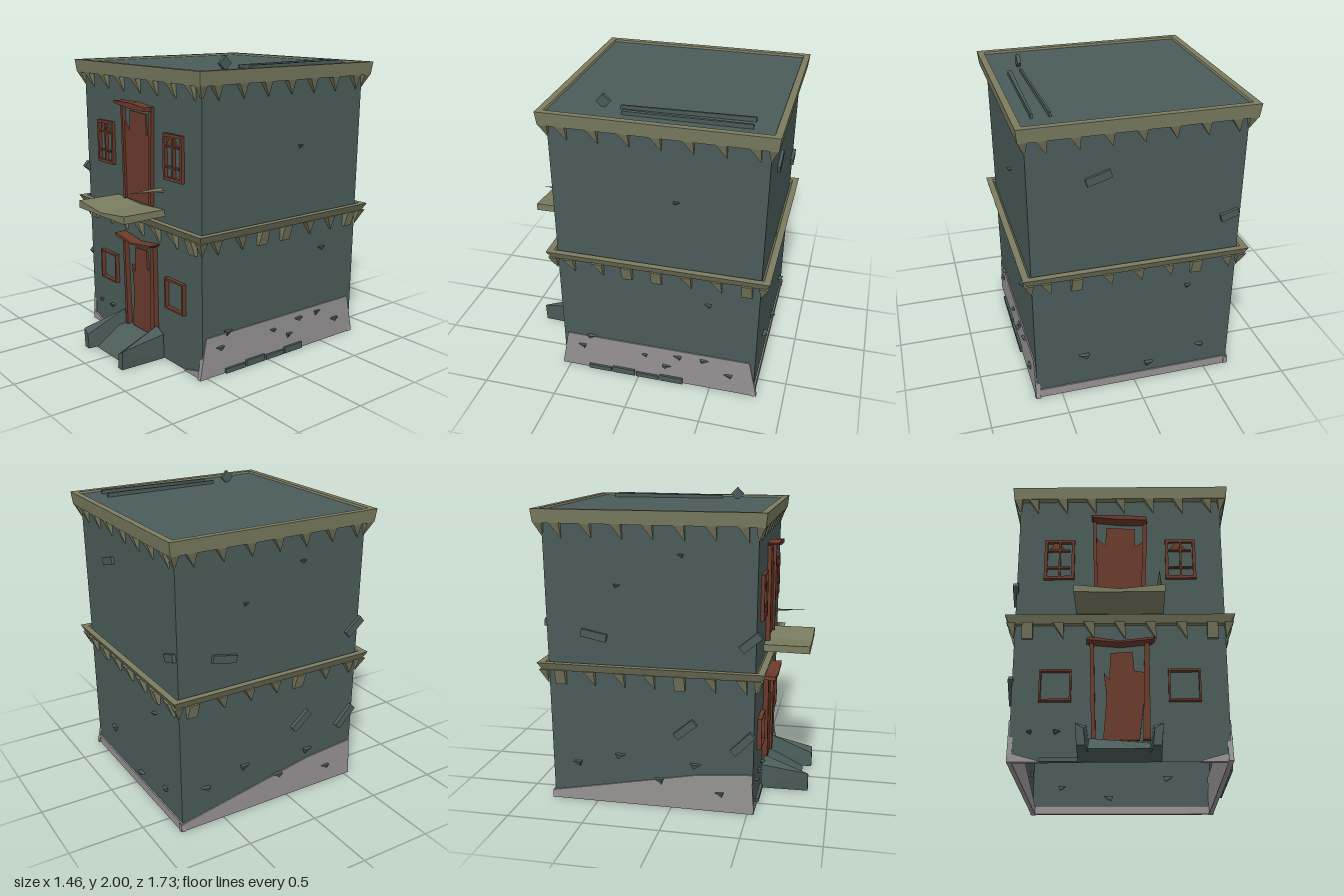
import * as THREE from 'three';
import { ConvexGeometry } from 'three/addons/geometries/ConvexGeometry.js';

export function createModel() {
  const root = new THREE.Group();
  root.name = 'ruinedHouse';
  const mat = (name, color) => {
    const m = new THREE.MeshStandardMaterial({ color, side: THREE.DoubleSide });
    m.name = name;
    return m;
  };
  const teal = mat('tealStone', 0x4a5c59);
  const olive = mat('oliveTrim', 0x7a7c60);
  const wood = mat('brownWood', 0x6a3a2b);
  const grey = mat('greyPlaster', 0x969293);

  // Helpers: mesh, convex solid, flat plate in the xy plane, box
  const add = (parent, name, geo, m) => {
    const mesh = new THREE.Mesh(geo, m);
    mesh.name = name;
    parent.add(mesh);
    return mesh;
  };
  const hull = (parent, name, pts, m) =>
    add(parent, name, new ConvexGeometry(pts.map(p => new THREE.Vector3(...p))), m);
  const plate = (parent, name, pts, z, depth, m) => {
    const shape = new THREE.Shape(pts.map(p => new THREE.Vector2(...p)));
    const geo = new THREE.ExtrudeGeometry(shape, { depth, bevelEnabled: false });
    return add(parent, name, geo.translate(0, 0, z), m);
  };
  const box = (parent, name, x0, x1, y0, y1, z0, z1, m) => add(parent, name,
    new THREE.BoxGeometry(x1 - x0, y1 - y0, z1 - z0)
      .translate((x0 + x1) / 2, (y0 + y1) / 2, (z0 + z1) / 2), m);

  // Building body: two open, slightly flaring storeys
  const CZ = -0.133;
  const storey = (name, rBottom, rTop, y0, y1) => {
    const geo = new THREE.CylinderGeometry(rTop * Math.SQRT2, rBottom * Math.SQRT2, y1 - y0, 4, 1, true, Math.PI / 4)
      .toNonIndexed();
    geo.computeVertexNormals();
    add(root, name, geo.translate(0, (y0 + y1) / 2, CZ), teal);
  };
  storey('lowerWalls', 0.665, 0.672, 0, 0.93);
  storey('upperWalls', 0.672, 0.68, 0.93, 1.9);
  box(root, 'middleFloor', -0.66, 0.66, 0.9, 0.93, CZ - 0.66, CZ + 0.66, olive);
  box(root, 'roof', -0.69, 0.69, 1.88, 1.918, CZ - 0.69, CZ + 0.69, teal);

  // One group per side: local x runs rightward, local z points outward
  const sides = ['front', 'right', 'back', 'left'].map((name, i) => {
    const g = new THREE.Group();
    g.name = name + 'Side';
    g.position.z = CZ;
    g.rotation.y = i * Math.PI / 2;
    root.add(g);
    return g;
  });
  const [front, right, back, left] = sides;

  // Cornices with mitred ends, and the brackets hanging below them
  const cornice = (g, y0, y1, low) => hull(g, 'cornice', [
    [-0.732, y1, 0.732], [0.732, y1, 0.732], [-low, y0, low], [low, y0, low],
    [-0.69, y1, 0.69], [0.69, y1, 0.69], [-0.66, y0, 0.66], [0.66, y0, 0.66]], olive);
  const bracket = (g, x, y, blocky) => {
    const w = 0.034, z0 = 0.66, z1 = 0.722, h = 0.1;
    const top = [[x - w, y, z0], [x + w, y, z0], [x - w, y, z1], [x + w, y, z1]];
    const tip = blocky
      ? [[x - w, y - h, z0], [x + w, y - h, z0], [x - w, y - h, 0.69], [x + w, y - h, 0.69]]
      : [[x + w, y - h, z0], [x + w, y - h, 0.685]];
    hull(g, 'bracket', [...top, ...tip], olive);
  };
  const blockyAt = [[0, 6], [2, 3, 6], [1, 5], [0, 4]];
  sides.forEach((g, s) => {
    cornice(g, 1.845, 1.932, 0.722);
    cornice(g, 0.9, 0.952, 0.705);
    for (let i = 0; i < 7; i++) {
      const x = (i - 3) * 0.196;
      bracket(g, x, 1.85, false);
      bracket(g, x, 0.905, blockyAt[s].includes(i));
    }
    for (const y of [1.85, 0.905]) {
      hull(g, 'cornerBracket', [[0.665, y, 0.665], [0.722, y, 0.665], [0.665, y, 0.722],
        [0.722, y, 0.722], [0.675, y - 0.1, 0.675]], olive);
    }
  });

  // Exposed plaster along the foot of the walls
  plate(right, 'plasterPatch', [[-0.69, 0], [0.688, 0], [0.63, 0.27], [-0.64, 0.27]], 0.645, 0.03, grey);
  plate(left, 'plasterPatch', [[-0.68, 0], [0.675, 0], [0.66, 0.27], [0.3, 0.24], [-0.68, 0.05]], 0.645, 0.03, grey);
  plate(back, 'plasterPatch', [[-0.68, 0], [0.68, 0], [0.67, 0.06], [-0.67, 0.06]], 0.645, 0.03, grey);
  for (const s of [-1, 1]) {
    plate(front, 'plasterCorner', [[s * 0.672, 0], [s * 0.672, 0.06], [s * 0.5, 0.012], [s * 0.48, 0]], 0.645, 0.03, grey);
  }

  // Broken stone chips: [x, y, size], thin wedges poking out of a wall
  const chip = (g, x, y, s, i) => {
    const f = i % 2 ? -1 : 1;
    hull(g, 'stoneChip', [[x - f * s, y + 0.4 * s, 0.65], [x + f * s, y + 0.5 * s, 0.65],
      [x + f * 0.6 * s, y - 0.6 * s, 0.65], [x - f * 0.7 * s, y + 0.3 * s, 0.682],
      [x + f * 0.8 * s, y + 0.5 * s, 0.7], [x + f * 0.5 * s, y - 0.5 * s, 0.682]], teal);
  };
  const chips = [
    [front, [[-0.55, 0.185, 0.02], [-0.38, 0.185, 0.025], [-0.24, 0.185, 0.02]]],
    [right, [[-0.54, 0.18, 0.035], [-0.46, 0.27, 0.035], [-0.09, 0.19, 0.025], [0.07, 0.12, 0.035],
      [0.14, 0.215, 0.035], [0.33, 0.22, 0.035], [0.49, 0.13, 0.037], [0.13, 1.41, 0.025], [0.34, 0.685, 0.027]]],
    [back, [[-0.35, 0.27, 0.04], [0.1, 0.12, 0.035], [0.45, 0.2, 0.03], [0.35, 0.7, 0.025], [-0.1, 0.92, 0.03]]],
    [left, [[-0.5, 0.26, 0.035], [-0.2, 0.33, 0.04], [0.05, 0.18, 0.04], [0.3, 0.3, 0.04], [0.45, 0.12, 0.035],
      [-0.2, 1.46, 0.025], [0.2, 1.66, 0.025]]],
  ];
  for (const [g, list] of chips) list.forEach(([x, y, s], i) => chip(g, x, y, s, i));

  // Larger loose slabs, tilted on the walls: [x, y, length, tilt]
  const slab = (g, x, y, len, tilt) => {
    const m = add(g, 'looseSlab', new THREE.BoxGeometry(len, 0.05, 0.035), teal);
    m.position.set(x, y, 0.678);
    m.rotation.z = tilt;
  };
  slab(left, -0.36, 1.14, 0.17, -0.2);
  slab(left, 0.23, 0.55, 0.16, 0.7);
  slab(left, 0.64, 1.14, 0.15, 0.7);
  slab(left, 0.6, 0.48, 0.18, 0.8);
  slab(back, -0.25, 1.56, 0.16, 0.3);
  slab(back, 0.6, 1.19, 0.12, 0.3);

  // Low stones at the foot of the walls
  [-0.41, -0.24, -0.07, 0.1].forEach((x, i) =>
    box(right, 'footStone', x - 0.08, x + 0.08, 0, 0.032 + (i % 2) * 0.012, 0.65, 0.69, teal));
  for (const x of [-0.41, -0.28]) box(front, 'footStone', x - 0.07, x + 0.06, 0, 0.024, 0.65, 0.685, teal);

  // Doors: ragged leaf, leaning posts and a bent lintel
  const Z = 0.535;
  const post = (name, xb0, xb1, xt0, xt1, y0, y1) =>
    plate(root, name, [[xb0, y0], [xb1, y0], [xt1, y1], [xt0, y1]], Z - 0.02, 0.055, wood);
  plate(root, 'lowerDoor', [[-0.1, 0.13], [0.12, 0.13], [0.15, 0.4], [0.15, 0.57], [0.09, 0.58], [0.08, 0.71],
    [-0.06, 0.7], [-0.065, 0.52], [-0.1, 0.57], [-0.08, 0.4]], Z - 0.03, 0.05, wood);
  post('lowerDoorPost', -0.17, -0.145, -0.19, -0.165, 0.12, 0.77);
  post('lowerDoorPost', 0.14, 0.185, 0.155, 0.185, 0.13, 0.77);
  plate(root, 'lowerLintel', [[-0.21, 0.765], [0, 0.745], [0.2, 0.765], [0.22, 0.785], [0, 0.757], [-0.2, 0.787]],
    Z - 0.02, 0.105, wood);
  plate(root, 'upperDoor', [[-0.15, 1.03], [0.13, 1.03], [0.16, 1.35], [0.17, 1.53], [0.1, 1.48], [0.1, 1.62],
    [-0.09, 1.63], [-0.1, 1.49], [-0.155, 1.55]], Z - 0.03, 0.05, wood);
  post('upperDoorPost', -0.165, -0.14, -0.18, -0.16, 1.03, 1.67);
  post('upperDoorPost', 0.135, 0.16, 0.155, 0.185, 1.03, 1.67);
  plate(root, 'upperLintel', [[-0.18, 1.675], [0, 1.655], [0.18, 1.65], [0.18, 1.675], [0, 1.692], [-0.19, 1.69]],
    Z - 0.02, 0.105, wood);

  // Window frames, the upper ones with glazing bars and a broken pane board
  const bar = (x0, x1, y0, y1) => box(root, 'windowBar', x0, x1, y0, y1, 0.52, 0.565, wood);
  const frame = (cx, y0, y1, t) => {
    bar(cx - 0.1, cx - 0.1 + t, y0, y1);
    bar(cx + 0.1 - t, cx + 0.1, y0, y1);
    bar(cx - 0.1, cx + 0.1, y0, y0 + t);
    bar(cx - 0.1, cx + 0.1, y1 - t, y1);
  };
  for (const cx of [-0.4, 0.4]) {
    frame(cx, 0.38, 0.588, 0.012);
    frame(cx, 1.235, 1.53, 0.02);
    bar(cx - 0.005, cx + 0.008, 1.25, 1.52);
    bar(cx - 0.08, cx + 0.07, 1.315, 1.325);
    bar(cx - 0.08, cx + 0.07, 1.445, 1.455);
    plate(root, 'windowBoard', [[cx - 0.075, 1.45], [cx + 0.045, 1.45], [cx - 0.01, 1.52], [cx - 0.04, 1.51]], 0.53, 0.025, wood);
  }

  // Balcony slab with a sagging middle, and a stake beside it
  for (const s of [-1, 1]) {
    hull(root, 'balcony', [[0, 1.012, 0.54], [0, 0.985, 0.54], [0, 1.0, 0.845], [0, 0.978, 0.845],
      [s * 0.28, 1.03, 0.54], [s * 0.28, 0.985, 0.54], [s * 0.28, 1.03, 0.845], [s * 0.28, 0.98, 0.845]], olive);
  }
  hull(root, 'stake', [[0.235, 1.165, 0.53], [0.275, 1.14, 0.53], [0.28, 1.155, 0.53], [0.25, 1.162, 0.79]], olive);

  // Entrance steps: sloping tread between two leaning wing stones
  hull(root, 'doorStep', [[-0.18, 0, 0.53], [0.18, 0, 0.53], [-0.18, 0.125, 0.53], [0.18, 0.125, 0.53],
    [-0.18, 0.12, 0.62], [0.18, 0.09, 0.62], [-0.18, 0, 0.8], [0.18, 0, 0.8]], teal);
  for (const s of [-1, 1]) {
    hull(root, 'stepWing', [[s * 0.25, 0, 0.54], [s * 0.17, 0, 0.54], [s * 0.25, 0.17, 0.54], [s * 0.2, 0.22, 0.56],
      [s * 0.24, 0, 0.86], [s * 0.19, 0, 0.86], [s * 0.25, 0.13, 0.86], [s * 0.2, 0.1, 0.86]], teal);
  }

  // Fallen pieces on the roof
  const beam = (x0, x1, z0, z1, w) => hull(root, 'roofBeam', [0, 1].flatMap(k => [
    [x0 - 0.007, 1.91 + k * 0.036, z0], [x0 + 0.007, 1.91 + k * 0.036, z0],
    [x1 - w, 1.91 + k * 0.03, z1], [x1 + w, 1.91 + k * 0.03, z1]]), teal);
  beam(0.498, 0.512, -0.69, 0.13, 0.007);
  beam(0.605, 0.59, -0.69, 0.1, 0.014);
  const cube = add(root, 'roofStone', new THREE.BoxGeometry(0.025, 0.066, 0.066), teal);
  cube.position.set(0.507, 1.953, 0.24);
  cube.rotation.x = Math.PI / 4;

  return root;
}
